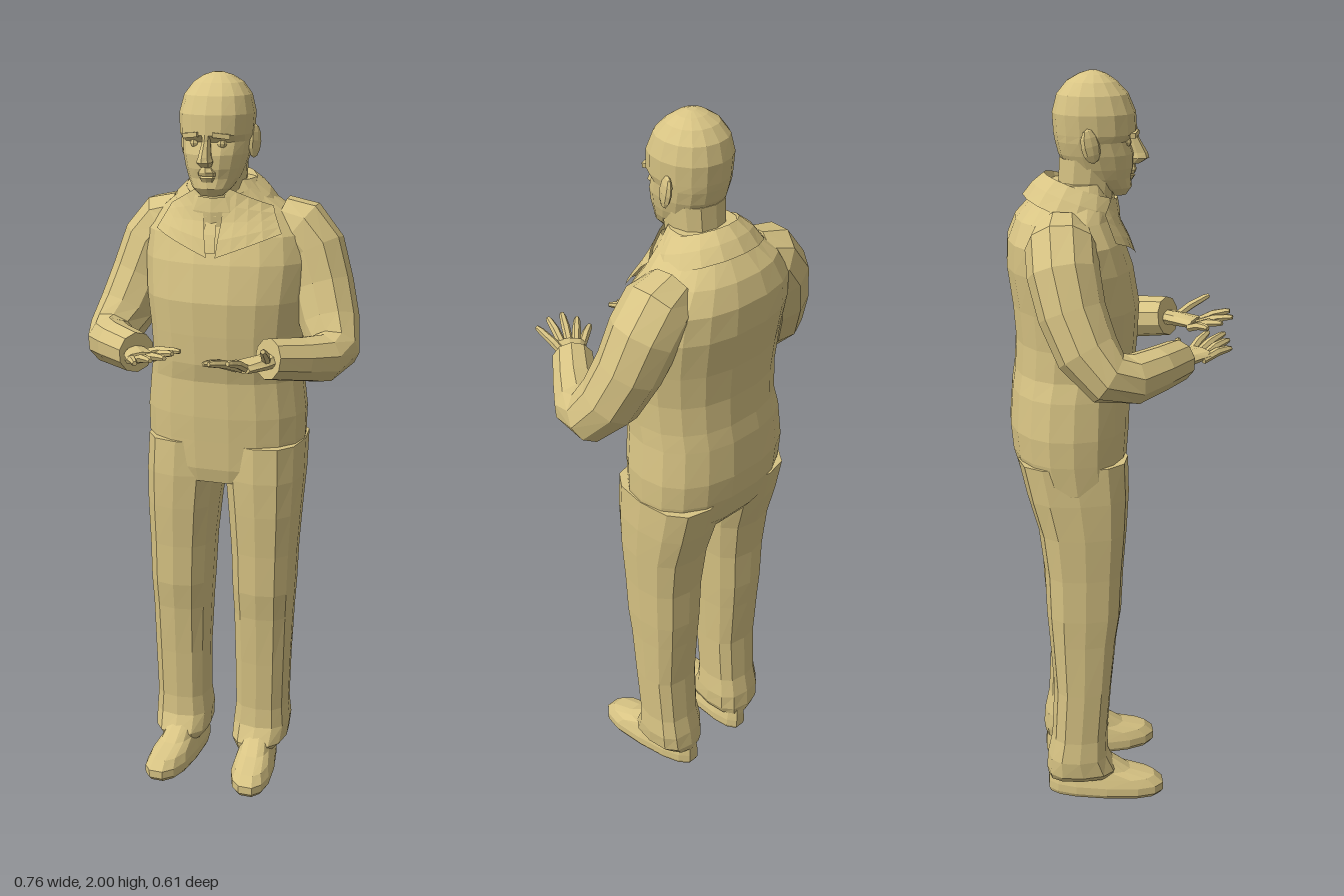
import * as THREE from 'three';

const clay = new THREE.MeshStandardMaterial({ color: 0xd8c484, flatShading: true, side: THREE.DoubleSide });
clay.name = 'sand';

// Skin closed rings of points into a capped solid
function skin(rings) {
  const pos = [], idx = [], n = rings[0].length;
  rings.forEach(r => r.forEach(p => pos.push(p.x, p.y, p.z)));
  for (let i = 0; i < rings.length - 1; i++) {
    for (let j = 0; j < n; j++) {
      const a = i * n + j, b = i * n + (j + 1) % n, c = a + n, d = b + n;
      idx.push(a, c, b, b, c, d);
    }
  }
  const last = (rings.length - 1) * n;
  [0, last].forEach(start => {
    const mid = new THREE.Vector3();
    rings[start / n].forEach(p => mid.addScaledVector(p, 1 / n));
    const m = pos.length / 3;
    pos.push(mid.x, mid.y, mid.z);
    for (let j = 0; j < n; j++) {
      const a = start + j, b = start + (j + 1) % n;
      if (start) idx.push(m, b, a); else idx.push(m, a, b);
    }
  });
  const g = new THREE.BufferGeometry();
  g.setAttribute('position', new THREE.Float32BufferAttribute(pos, 3));
  g.setIndex(idx);
  g.computeVertexNormals();
  return g;
}

const spow = (v, e) => Math.sign(v) * Math.abs(v) ** e;

// Upright solid; each section is [y, centre x, half width, back z, front z]
function stack(sections, n = 16, power = 2.3, tilt = 0) {
  return skin(sections.map(([y, cx, w, zb, zf]) => Array.from({ length: n }, (_, j) => {
    const t = (j / n) * Math.PI * 2, c = (zb + zf) / 2, h = (zf - zb) / 2;
    const dz = h * spow(Math.sin(t), 2 / power);
    return new THREE.Vector3(cx + w * spow(Math.cos(t), 2 / power), y + tilt * dz, c + dz);
  })));
}

// Limb along a path; each section is [x, y, z, radius across, radius through]
function limb(sections, n = 10, side = null) {
  const pts = sections.map(s => new THREE.Vector3(s[0], s[1], s[2]));
  let u = side || new THREE.Vector3(0, 0, 1);
  return skin(sections.map((s, i) => {
    const T = pts[Math.min(i + 1, pts.length - 1)].clone().sub(pts[Math.max(i - 1, 0)]).normalize();
    u = u.clone().addScaledVector(T, -u.dot(T)).normalize();
    const v = u.clone().cross(T);
    return Array.from({ length: n }, (_, j) => {
      const t = (j / n) * Math.PI * 2;
      return pts[i].clone().addScaledVector(u, s[3] * Math.cos(t)).addScaledVector(v, (s[4] ?? s[3]) * Math.sin(t));
    });
  }));
}

const TORSO = [
  [0.91, -0.005, 0.2, -0.25, -0.01], [0.95, -0.005, 0.218, -0.28, 0],
  [1.03, -0.005, 0.223, -0.302, 0.005], [1.1, -0.005, 0.224, -0.308, 0.01],
  [1.2, -0.005, 0.213, -0.3, 0.012], [1.25, 0, 0.207, -0.292, 0.025],
  [1.33, 0, 0.21, -0.287, 0.032], [1.42, 0, 0.22, -0.293, 0.037],
  [1.52, 0, 0.228, -0.306, 0.02], [1.59, -0.005, 0.222, -0.302, -0.005],
  [1.645, -0.01, 0.18, -0.28, -0.035], [1.69, -0.012, 0.12, -0.24, -0.04],
  [1.73, -0.012, 0.085, -0.2, -0.05]
];

// Front surface of the torso at a given x and y
function chestZ(x, y) {
  const i = Math.max(0, TORSO.findIndex(s => s[0] > y) - 1);
  const a = TORSO[i], b = TORSO[i + 1], k = (y - a[0]) / (b[0] - a[0]);
  const [, cx, w, zb, zf] = a.map((v, q) => v + (b[q] - v) * k);
  const r = Math.min(0.97, Math.abs(x - cx) / w);
  return (zb + zf) / 2 + (zf - zb) / 2 * (1 - r ** 2.3) ** (1 / 2.3);
}

// Four-cornered cloth panel lying on the chest
function panel(corners, lift) {
  const g = new THREE.PlaneGeometry(1, 1, 4, 4), p = g.attributes.position;
  const [A, B, C, D] = corners;
  for (let i = 0; i < p.count; i++) {
    const s = p.getX(i) + 0.5, t = 0.5 - p.getY(i);
    const [x, y] = [0, 1].map(q => (A[q] * (1 - s) + B[q] * s) * (1 - t) + (D[q] * (1 - s) + C[q] * s) * t);
    p.setXYZ(i, x, y, chestZ(x, y) + lift);
  }
  g.computeVertexNormals();
  return g;
}

export function createModel() {
  const root = new THREE.Group();
  root.name = 'standingMan';
  const add = (name, geo, parent = root) => {
    const m = new THREE.Mesh(geo, clay);
    m.name = name;
    parent.add(m);
    return m;
  };
  const hx = -0.013;

  // Jacket, neck and collar
  add('jacket', stack(TORSO, 18));
  add('neck', stack([[1.6, hx, 0.07, -0.19, -0.04], [1.7, hx, 0.07, -0.17, -0.025], [1.79, hx, 0.076, -0.165, -0.01]], 12));
  add('collar', stack([[1.655, hx, 0.15, -0.26, -0.015], [1.69, hx, 0.128, -0.235, -0.012],
    [1.72, hx, 0.094, -0.205, -0.018], [1.69, hx, 0.078, -0.19, -0.04]], 16, 2, -0.35));

  // Head with a domed crown, brow, cheeks and chin
  const head = new THREE.Group();
  head.name = 'head';
  root.add(head);
  add('skull', stack([
    [1.695, hx, 0.03, -0.05, 0.004], [1.715, hx, 0.052, -0.085, 0.018], [1.74, hx, 0.068, -0.125, 0.016],
    [1.765, hx, 0.077, -0.15, 0.022], [1.8, hx, 0.086, -0.168, 0.023], [1.832, hx, 0.09, -0.176, 0.012],
    [1.85, hx, 0.094, -0.179, 0.031], [1.9, hx, 0.097, -0.182, 0.028], [1.945, hx, 0.086, -0.17, 0.009],
    [1.975, hx, 0.064, -0.145, -0.02], [1.992, hx, 0.038, -0.115, -0.045], [2, hx, 0.012, -0.09, -0.068]
  ], 16, 2.2), head);
  add('nose', stack([[1.772, hx, 0.014, 0, 0.04], [1.785, hx, 0.021, 0, 0.062], [1.798, hx, 0.016, 0, 0.058],
    [1.835, hx, 0.01, 0, 0.036], [1.852, hx, 0.012, 0, 0.033]], 8), head);
  add('upperLip', stack([[1.748, hx, 0.026, -0.01, 0.026], [1.757, hx, 0.026, -0.01, 0.03], [1.77, hx, 0.016, -0.01, 0.027]], 8), head);
  add('lowerLip', stack([[1.732, hx, 0.018, -0.01, 0.02], [1.743, hx, 0.022, -0.01, 0.027], [1.747, hx, 0.022, -0.01, 0.02]], 8), head);

  for (const s of [1, -1]) {
    const side = s > 0 ? 'left' : 'right';

    // Ears and brows
    const ear = add(side + 'Ear', new THREE.SphereGeometry(1, 8, 6), head);
    ear.scale.set(0.011, 0.043, 0.026);
    ear.position.set(hx + s * 0.094, 1.828, -0.092);
    ear.rotation.set(-0.2, s * -0.35, 0);
    const brow = add(side + 'Brow', new THREE.BoxGeometry(0.045, 0.012, 0.014), head);
    brow.position.set(hx + s * 0.04, 1.85, 0.021);
    brow.rotation.set(0, s * 0.3, s * -0.12);
    const eye = add(side + 'Eye', new THREE.SphereGeometry(0.013, 8, 6), head);
    eye.position.set(hx + s * 0.036, 1.829, 0.001);

    // Lapels and collar points
    add(side + 'Lapel', panel([[hx + s * 0.035, 1.715], [s * 0.135, 1.665], [s * 0.17, 1.6], [s * 0.012, 1.54]], 0.016));

    // Trouser legs
    const lean = y => s > 0 ? -0.014 * (1 - y) : -0.016 * (1 - y);
    add(side + 'Trouser', stack([
      [0.065, 0.112, 0.062, -0.228, -0.04], [0.09, 0.118, 0.08, -0.232, -0.035], [0.14, 0.12, 0.083, -0.228, -0.058],
      [0.2, 0.121, 0.077, -0.215, -0.06], [0.35, 0.122, 0.08, -0.207, -0.048], [0.5, 0.122, 0.084, -0.217, -0.033],
      [0.58, 0.122, 0.088, -0.223, -0.02], [0.7, 0.121, 0.092, -0.226, -0.014], [0.82, 0.119, 0.1, -0.24, -0.004],
      [0.92, 0.115, 0.107, -0.268, 0.002], [1.02, 0.112, 0.108, -0.29, 0]
    ].map(([y, x, ...r]) => [y, s * x + lean(y), ...r]), 12, 2.6));

    // Shoes, toes turned slightly outward
    const shoe = stack([
      [0, 0, 0.055, -0.225, 0.09], [0.012, 0, 0.062, -0.23, 0.1], [0.035, 0, 0.062, -0.23, 0.1],
      [0.058, 0, 0.055, -0.228, 0.075], [0.078, 0, 0.05, -0.225, 0.005], [0.115, 0, 0.045, -0.215, -0.05]
    ], 14, 2.6);
    const p = shoe.attributes.position;
    for (let i = 0; i < p.count; i++) {
      const z = p.getZ(i), waist = 1 - 0.18 * Math.max(0, -z) / 0.23;
      p.setX(i, p.getX(i) * waist + s * (0.12 + 0.11 * (z + 0.05)) - 0.01);
    }
    shoe.computeVertexNormals();
    add(side + 'Shoe', shoe);

    // Sleeves, bent at the elbow
    const end = s > 0 ? [0.19, 1.315, 0.138] : [0.172, 1.298, 0.12];
    add(side + 'Sleeve', limb([
      [0.13, 1.61, -0.165, 0.075], [0.18, 1.592, -0.17, 0.09], [0.222, 1.54, -0.168, 0.09], [0.255, 1.45, -0.15, 0.085],
      [0.287, 1.36, -0.115, 0.08], [0.31, 1.3, -0.065, 0.07], [0.295, 1.29, -0.005, 0.064],
      [0.25, 1.3, 0.06, 0.058], [...end, 0.054]
    ].map(([x, ...r]) => [s * x, ...r]), 10));
  }

  // Tie
  add('tieKnot', panel([[hx - 0.022, 1.68], [hx + 0.022, 1.68], [hx + 0.014, 1.64], [hx - 0.014, 1.64]], 0.018));
  add('tie', panel([[hx - 0.014, 1.64], [hx + 0.014, 1.64], [hx + 0.022, 1.55], [hx - 0.016, 1.55]], 0.008));

  // Hands: palm [wrist, knuckles], then fingers [base, tip] and the thumb last
  const hands = {
    left: {
      palm: [[0.205, 1.312, 0.115], [0.178, 1.31, 0.162], [0.14, 1.308, 0.212]],
      digits: [[0.105, 1.305, 0.195, 0.052, 1.315, 0.23], [0.115, 1.308, 0.212, 0.062, 1.325, 0.27],
        [0.132, 1.312, 0.225, 0.087, 1.335, 0.302], [0.155, 1.315, 0.23, 0.135, 1.34, 0.302],
        [0.195, 1.315, 0.165, 0.211, 1.365, 0.255]]
    },
    right: {
      palm: [[-0.185, 1.295, 0.1], [-0.16, 1.3, 0.145], [-0.13, 1.305, 0.188]],
      digits: [[-0.102, 1.305, 0.168, -0.037, 1.33, 0.218], [-0.117, 1.305, 0.186, -0.043, 1.328, 0.26],
        [-0.137, 1.303, 0.2, -0.078, 1.32, 0.266], [-0.16, 1.3, 0.2, -0.12, 1.31, 0.266],
        [-0.145, 1.3, 0.115, -0.045, 1.315, 0.138]]
    }
  };
  for (const [side, { palm, digits }] of Object.entries(hands)) {
    const hand = new THREE.Group();
    hand.name = side + 'Hand';
    root.add(hand);
    const across = new THREE.Vector3(palm[2][0] - palm[0][0], 0, palm[2][2] - palm[0][2]).cross(new THREE.Vector3(0, 1, 0));
    const size = [[0.027, 0.021], [0.036, 0.019], [0.042, 0.014]];
    add('palm', limb(palm.map((q, i) => [...q, ...size[i]]), 8, across), hand);
    digits.forEach(([x, y, z, X, Y, Z], i) => {
      const at = (k, r) => [x + (X - x) * k, y + (Y - y) * k + 0.005 * Math.sin(k * Math.PI), z + (Z - z) * k, r];
      add(i < 4 ? 'finger' + (i + 1) : 'thumb', limb([at(-0.2, 0.011), at(0.4, 0.0115), at(0.85, 0.009), at(1, 0.006)], 6, across), hand);
    });
  }
  return root;
}
